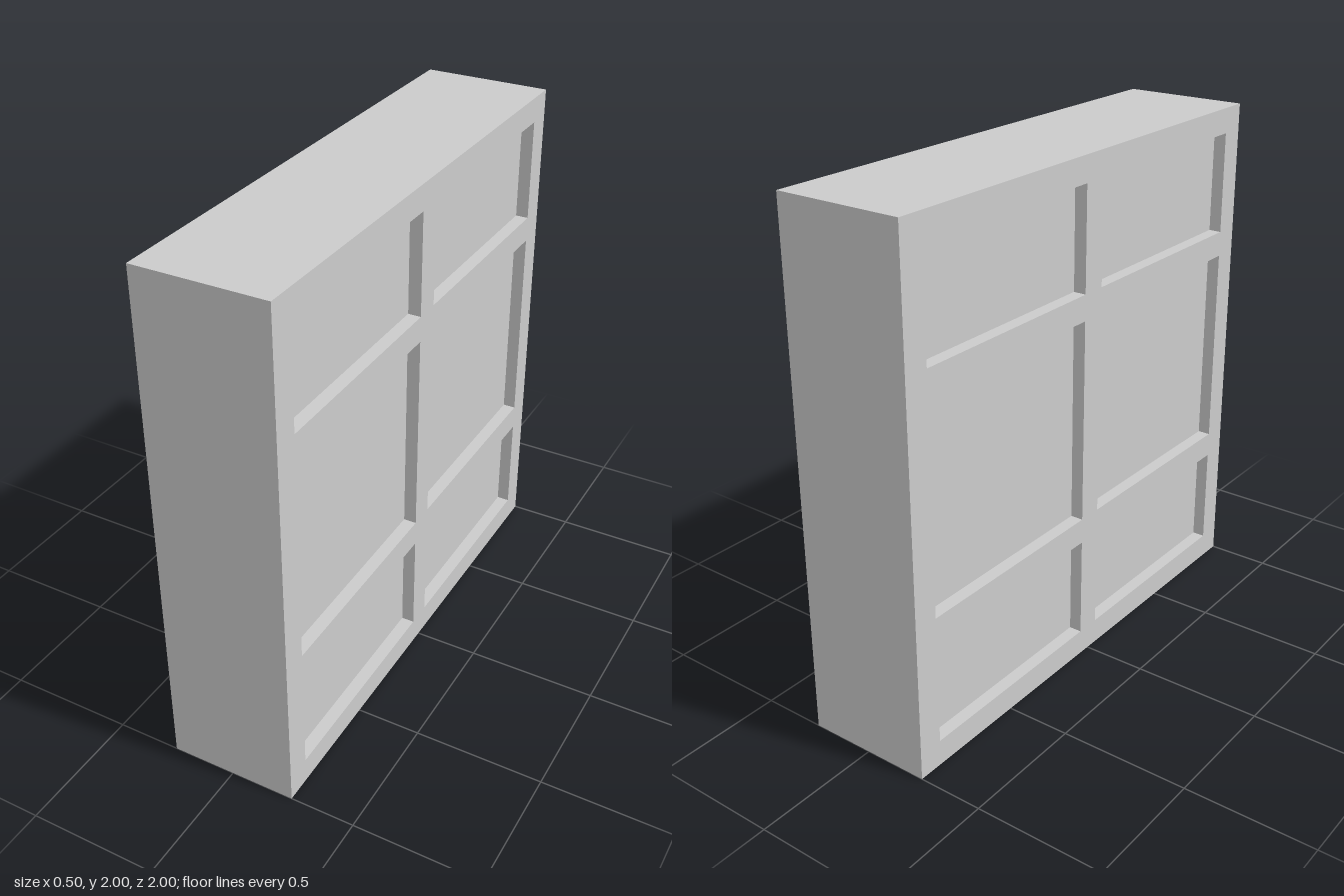
import * as THREE from 'three';

const WIDTH = 0.5, SIZE = 2, RECESS = 0.05;
const COLUMNS = [[-0.9, -0.05], [0.05, 0.9]];        // z ranges of the panels
const ROWS = [[0.1, 0.5], [0.6, 1.4], [1.5, 1.9]];   // y ranges of the panels

function rectangle(PathType, [a0, a1], [y0, y1]) {
  return new PathType([
    new THREE.Vector2(a0, y0), new THREE.Vector2(a1, y0),
    new THREE.Vector2(a1, y1), new THREE.Vector2(a0, y1),
  ]);
}

export function createModel() {
  const group = new THREE.Group();
  group.name = 'panelledBlock';
  const material = new THREE.MeshStandardMaterial({ color: 0xcccccc, flatShading: true });

  // Solid frame, pierced by the six panel openings
  const outline = rectangle(THREE.Shape, [-SIZE / 2, SIZE / 2], [0, SIZE]);
  for (const z of COLUMNS) for (const y of ROWS) outline.holes.push(rectangle(THREE.Path, z, y));
  const frameGeometry = new THREE.ExtrudeGeometry(outline, { depth: WIDTH, bevelEnabled: false });
  frameGeometry.translate(0, 0, -WIDTH / 2).rotateY(Math.PI / 2);
  const frame = new THREE.Mesh(frameGeometry, material);
  frame.name = 'frame';
  group.add(frame);

  // Recessed panels closing the openings on both broad sides
  for (const side of [1, -1]) {
    const panels = new THREE.Group();
    panels.name = side > 0 ? 'leftPanels' : 'rightPanels';
    for (const [z0, z1] of COLUMNS) {
      for (const [y0, y1] of ROWS) {
        const panel = new THREE.Mesh(new THREE.PlaneGeometry(z1 - z0, y1 - y0), material);
        panel.name = 'recessedPanel';
        panel.rotation.y = side * Math.PI / 2;
        panel.position.set(side * (WIDTH / 2 - RECESS), (y0 + y1) / 2, (z0 + z1) / 2);
        panels.add(panel);
      }
    }
    group.add(panels);
  }
  return group;
}
